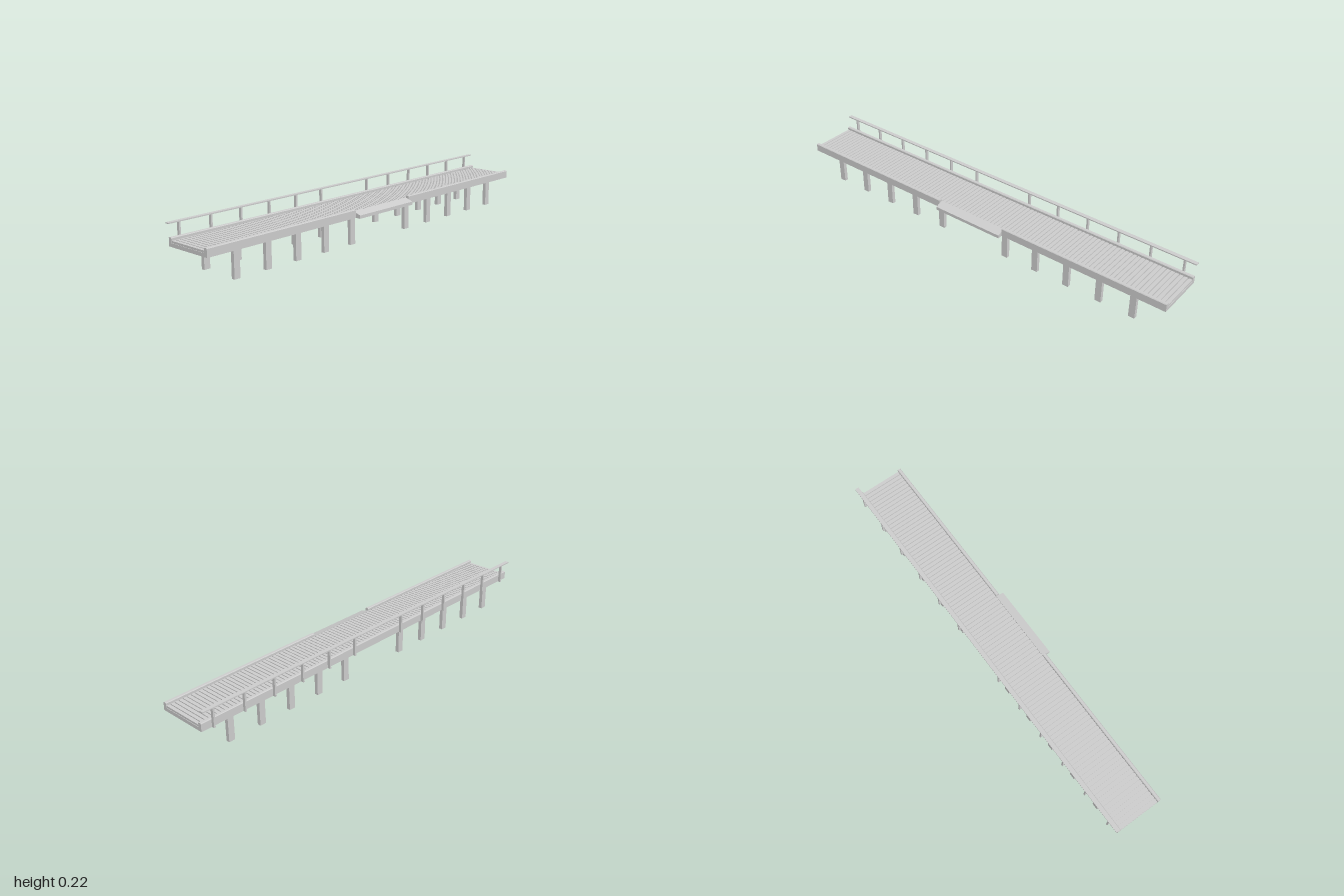
import * as THREE from 'three';

export function createModel() {
  const group = new THREE.Group();
  group.name = 'pier';
  const mat = new THREE.MeshStandardMaterial({ color: 0xcccccc, flatShading: true });

  // box given by its limits on each axis
  function box(name, x0, x1, y0, y1, z0, z1) {
    const m = new THREE.Mesh(new THREE.BoxGeometry(x1 - x0, y1 - y0, z1 - z0), mat);
    m.position.set((x0 + x1) / 2, (y0 + y1) / 2, (z0 + z1) / 2);
    m.name = name;
    group.add(m);
  }

  // [z, y] cross-section swept along x
  function beam(name, profile, x0, x1) {
    const shape = new THREE.Shape(profile.map(([z, y]) => new THREE.Vector2(-z, y)));
    const geo = new THREE.ExtrudeGeometry(shape, { depth: x1 - x0, bevelEnabled: false });
    geo.rotateY(Math.PI / 2);
    geo.translate(x0, 0, 0);
    const m = new THREE.Mesh(geo, mat);
    m.name = name;
    group.add(m);
  }

  const bottom = 0.122, slabTop = 0.138, rampHalf = 0.18;

  // deck slab with cross planks
  box('deckSlab', -1, 1, bottom, slabTop, -0.104, 0.099);
  const planks = 100, pitch = 2 / planks;
  for (let i = 0; i < planks; i++) {
    const x = -1 + (i + 0.5) * pitch;
    box('plank', x - pitch * 0.4, x + pitch * 0.4, slabTop, 0.147, -0.104, 0.099);
  }

  // side curbs with chamfered tops, the front one open at the ramp
  const curb = (z0, z1) => [
    [z0, bottom], [z0, 0.157], [z0 + 0.003, 0.16],
    [z1 - 0.003, 0.16], [z1, 0.157], [z1, bottom],
  ];
  beam('backCurb', curb(-0.12, -0.104), -1, 1);
  beam('frontCurb', curb(0.099, 0.115), -1, -rampHalf);
  beam('frontCurb', curb(0.099, 0.115), rampHalf, 1);

  // sloping boarding ramp
  beam('boardingRamp', [
    [0.099, bottom], [0.099, 0.15], [0.139, 0.137], [0.139, bottom],
  ], -rampHalf, rampHalf);

  // support legs in two rows
  for (const side of [-1, 1]) {
    for (let i = 0; i < 5; i++) {
      const x = side * (0.185 + i * 0.165);
      box('frontLeg', x - 0.015, x + 0.015, 0, bottom, 0.083, 0.1);
      box('backLeg', x - 0.015, x + 0.015, 0, bottom, -0.104, -0.087);
    }
    // railing posts behind the back curb
    for (let i = 0; i < 6; i++) {
      const x = side * (0.155 + i * 0.158);
      box('railPost', x - 0.004, x + 0.004, bottom, 0.212, -0.133, -0.12);
    }
  }

  box('handRail', -1, 1, 0.212, 0.217, -0.137, -0.118);
  return group;
}
